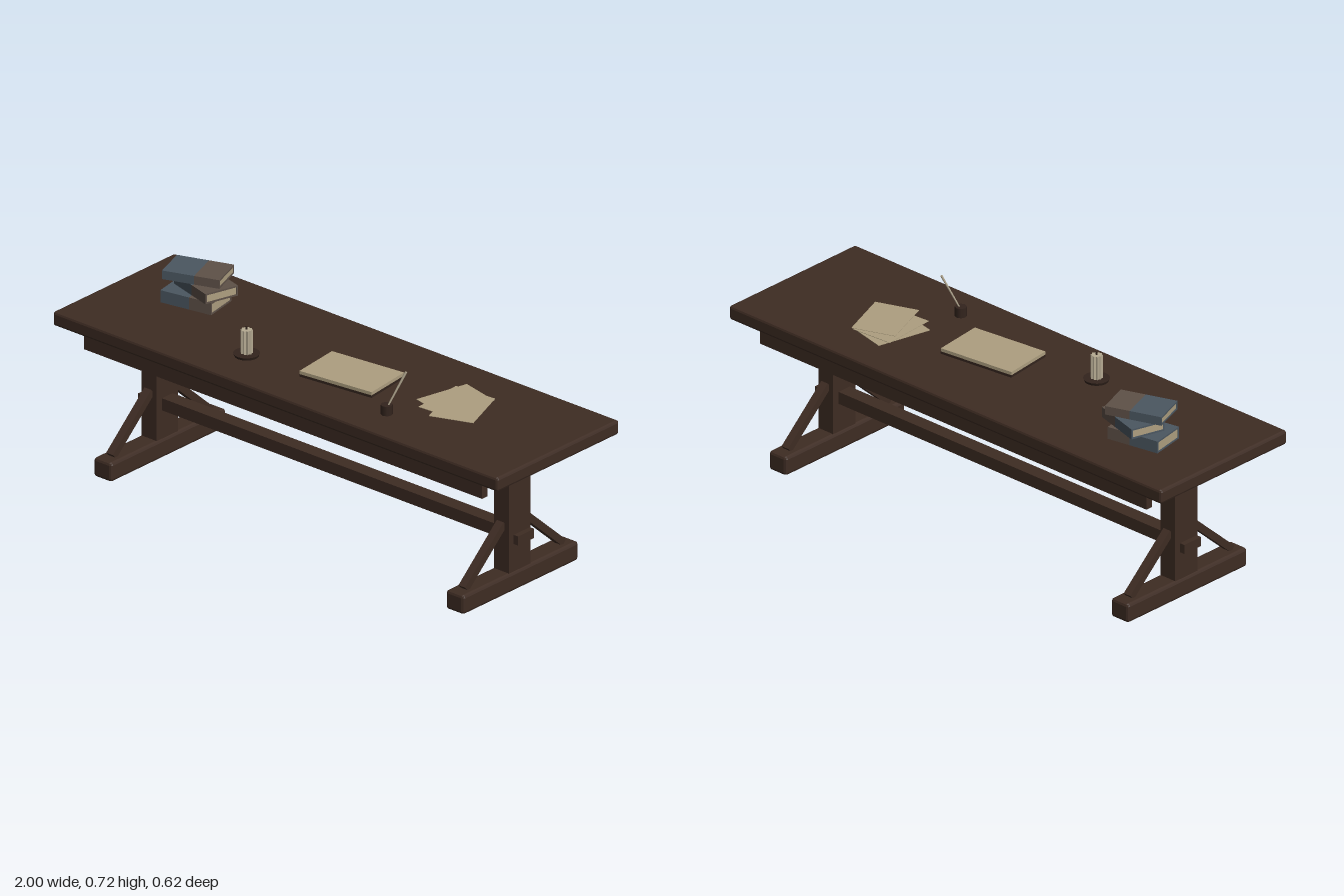
import * as THREE from 'three';
import { RoundedBoxGeometry } from 'three/addons/geometries/RoundedBoxGeometry.js';

const flat = (name, color) => {
  const m = new THREE.MeshStandardMaterial({ color });
  m.name = name;
  return m;
};

export function createModel() {
  const model = new THREE.Group();
  model.name = 'trestleTable';

  const wood = flat('darkWood', 0x3e2c23);
  const darkWood = flat('inkWood', 0x33241d);
  const blue = flat('blueCover', 0x4b5761);
  const brown = flat('brownCover', 0x5e5148);
  const paper = flat('paper', 0xae9f80);
  const wax = flat('wax', 0xb5aa92);

  const put = (name, geo, mat, x, y, z, parent = model) => {
    const mesh = new THREE.Mesh(geo, mat);
    mesh.name = name;
    mesh.position.set(x, y, z);
    parent.add(mesh);
    return mesh;
  };
  const box = (name, mat, w, h, d, x, y, z, parent) =>
    put(name, new THREE.BoxGeometry(w, h, d), mat, x, y, z, parent);
  // Box with flat chamfered edges
  const chamferBox = (name, mat, w, h, d, bevel, x, y, z, parent) => {
    const geo = new RoundedBoxGeometry(w, h, d, 1, bevel);
    geo.computeVertexNormals();
    return put(name, geo, mat, x, y, z, parent);
  };
  const holder = (name, x, y, z, turn = 0) => {
    const g = new THREE.Group();
    g.name = name;
    g.position.set(x, y, z);
    g.rotation.y = turn;
    model.add(g);
    return g;
  };

  // Top and long aprons
  chamferBox('tableTop', wood, 2, 0.052, 0.62, 0.009, 0, 0.541, 0);
  for (const s of [1, -1]) box('apron', wood, 1.79, 0.07, 0.027, 0, 0.48, s * 0.256);

  // Trestles, mirrored left and right
  for (const s of [1, -1]) {
    const t = holder(s > 0 ? 'leftTrestle' : 'rightTrestle', s * 0.792, 0, 0);
    chamferBox('foot', wood, 0.08, 0.07, 0.586, 0.01, 0, 0.035, 0, t);
    box('post', wood, 0.067, 0.39, 0.11, 0, 0.264, 0, t);
    box('cleat', wood, 0.075, 0.057, 0.486, 0, 0.4865, 0, t);
    for (const f of [1, -1]) {
      const brace = box('brace', wood, 0.03, 0.026, 0.262, 0, 0.16, f * 0.15, t);
      brace.rotation.x = f * Math.atan2(0.17, 0.19);
    }
    box('tenon', wood, 0.03, 0.014, 0.03, s * 0.042, 0.195, 0, t);
    box('wedgeKey', wood, 0.02, 0.034, 0.082, s * 0.053, 0.195, 0, t);
  }
  box('stretcher', wood, 1.53, 0.045, 0.055, 0, 0.197, 0);

  // Stacked books: x, z, turn, width, depth, bottom, height
  const books = [
    [-0.69, -0.068, 0.18, 0.2, 0.132, 0.567, 0.045],
    [-0.657, -0.082, -0.28, 0.195, 0.13, 0.617, 0.038],
    [-0.68, -0.068, 0.34, 0.208, 0.134, 0.665, 0.032],
  ];
  for (const [x, z, turn, w, d, y, h] of books) {
    const b = holder('book', x, y, z, turn);
    const c = 0.006;
    box('pages', paper, w - 0.004, h - 2 * c, d - 2 * c, 0, h / 2, 0, b);
    // Cover boards and edges, blue on one side and brown on the other
    for (const [mat, from, to] of [[blue, -0.5, 0.06], [brown, 0.06, 0.5]]) {
      const cw = (to - from) * w, cx = (from + to) * w / 2;
      for (const cy of [c / 2, h - c / 2]) box('board', mat, cw, c, d, cx, cy, 0, b);
      for (const f of [1, -1])
        box('coverEdge', mat, cw, h - 2 * c, c, cx, h / 2, f * (d - c) / 2, b);
    }
  }

  // Candle on a dish
  const candle = holder('candle', -0.28, 0.567, 0.138);
  put('dish', new THREE.CylinderGeometry(0.046, 0.042, 0.01, 16), darkWood, 0, 0.005, 0, candle);
  const ribbed = new THREE.Shape(Array.from({ length: 20 }, (_, i) => {
    const r = i % 2 ? 0.016 : 0.021, a = i * Math.PI / 10;
    return new THREE.Vector2(r * Math.cos(a), r * Math.sin(a));
  }));
  const stick = new THREE.ExtrudeGeometry(ribbed, { depth: 0.087, bevelEnabled: false });
  put('stick', stick.rotateX(-Math.PI / 2), wax, 0, 0.01, 0, candle);
  put('wick', new THREE.CylinderGeometry(0.003, 0.003, 0.013, 6), darkWood, 0, 0.102, 0, candle);

  // Writing pad
  const pad = holder('writingPad', 0.1, 0.567, 0.033, 0.115);
  box('padBase', darkWood, 0.297, 0.009, 0.192, 0, 0.0045, 0, pad);
  box('padPages', paper, 0.296, 0.012, 0.191, 0, 0.015, 0, pad);

  // Loose sheets: x, z, turn
  [[0.482, -0.062, -0.23], [0.5, -0.045, 0.07], [0.542, -0.028, 0.36]].forEach(([x, z, turn], i) => {
    const sheet = box('looseSheet', paper, 0.16, 0.0016, 0.208, x, 0.568 + i * 0.0018, z);
    sheet.rotation.y = turn;
  });

  // Ink pot and quill
  put('inkPot', new THREE.CylinderGeometry(0.021, 0.021, 0.035, 8), darkWood, 0.38, 0.5845, 0.172);
  const from = new THREE.Vector3(0.384, 0.597, 0.17), to = new THREE.Vector3(0.425, 0.72, 0.124);
  const quill = put('quill', new THREE.CylinderGeometry(0.0045, 0.003, from.distanceTo(to), 6), wax, 0, 0, 0);
  quill.position.lerpVectors(from, to, 0.5);
  quill.quaternion.setFromUnitVectors(new THREE.Vector3(0, 1, 0), to.clone().sub(from).normalize());

  return model;
}
